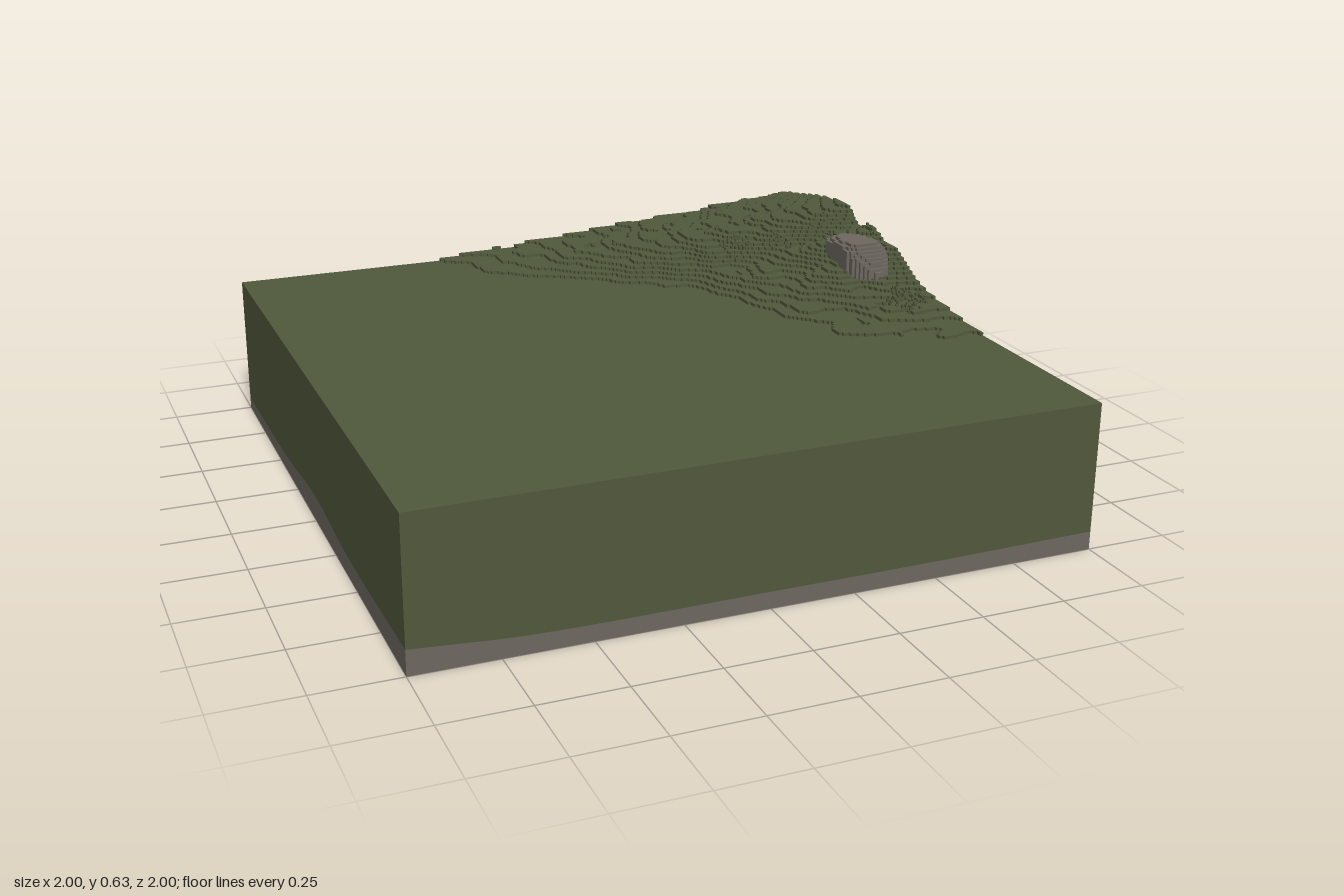
import * as THREE from 'three';
import { mergeGeometries } from 'three/addons/utils/BufferGeometryUtils.js';

const N = 200, CELL = 2 / N, STEP = 0.01, BASE = 0.445;

// smooth curve through [position, value] points in ascending order
function profile(points) {
  const slope = points.map((p, i) => {
    const a = points[Math.max(i - 1, 0)], b = points[Math.min(i + 1, points.length - 1)];
    return (b[1] - a[1]) / (b[0] - a[0]);
  });
  return (s) => {
    let i = 0;
    while (i < points.length - 2 && s > points[i + 1][0]) i++;
    const [x0, y0] = points[i], [x1, y1] = points[i + 1];
    const w = x1 - x0, t = THREE.MathUtils.clamp((s - x0) / w, 0, 1), u = 1 - t;
    return y0 * (1 + 2 * t) * u * u + slope[i] * w * t * u * u
      + y1 * t * t * (3 - 2 * t) - slope[i + 1] * w * t * t * u;
  };
}

// small repeatable noise
function hash(a, b) {
  const v = Math.sin(a * 127.1 + b * 311.7) * 43758.5453;
  return v - Math.floor(v);
}
function noise(x, z) {
  const i = Math.floor(x), j = Math.floor(z), u = x - i, v = z - j;
  const near = THREE.MathUtils.lerp(hash(i, j), hash(i + 1, j), u);
  const far = THREE.MathUtils.lerp(hash(i, j + 1), hash(i + 1, j + 1), u);
  return THREE.MathUtils.lerp(near, far, v) - 0.5;
}

// hill: height along the right edge, and where its foot begins in x
const ridge = profile([[-1, 0.56], [-0.8, 0.6], [-0.62, 0.63], [-0.5, 0.63], [-0.43, 0.588], [-0.33, 0.605],
  [-0.24, 0.575], [-0.17, 0.575], [-0.1, 0.54], [0, 0.497], [0.2, 0.465], [0.38, 0.452], [0.44, 0.445], [1, 0.445]]);
const foot = profile([[-1, -0.36], [-0.71, -0.12], [-0.39, 0.34], [-0.09, 0.47], [0.26, 0.59], [0.38, 0.9], [0.44, 1]]);

function ground(x, z) {
  if (z > 0.43) return BASE;
  const start = foot(z) + 0.1 * noise(x * 14, z * 14);
  const t = THREE.MathUtils.clamp((x - start) / (1.01 - start), 0, 1);
  const rough = 0.022 * noise(x * 17 + 5, z * 17) * Math.min(1, 4 * t * (1 - t));
  const rise = Math.max(0, (ridge(z) - BASE) * t + rough);
  return BASE + Math.floor(rise / STEP + 0.7) * STEP;
}

// collects flat four-cornered faces
function faceSet() {
  const pos = [];
  return {
    quad(a, b, c, d) { pos.push(...a, ...b, ...c, ...a, ...c, ...d); },
    geometry() {
      const g = new THREE.BufferGeometry();
      g.setAttribute('position', new THREE.Float32BufferAttribute(pos, 3));
      g.computeVertexNormals();
      return g;
    },
  };
}

function box(x, y, z, w, h, d) {
  return new THREE.BoxGeometry(w, h, d).translate(x, y, z);
}

export function createModel() {
  const group = new THREE.Group();
  const turf = new THREE.MeshStandardMaterial({ name: 'turf green', color: 0x50593b });
  const stone = new THREE.MeshStandardMaterial({ name: 'stone grey', color: 0x6e6760 });
  const add = (name, geometry, material) => {
    const mesh = new THREE.Mesh(geometry, material);
    mesh.name = name;
    group.add(mesh);
  };
  const at = (i) => -1 + i * CELL;
  const height = [];
  for (let j = 0; j < N; j++) {
    height.push([]);
    for (let i = 0; i < N; i++) height[j].push(ground(at(i + 0.5), at(j + 0.5)));
  }

  // terraced top: level runs along x, with risers between unequal cells
  const top = faceSet();
  for (let j = 0; j < N; j++) {
    const z0 = at(j), z1 = at(j + 1);
    let from = 0;
    for (let i = 0; i < N; i++) {
      const a = height[j][i], right = height[j][i + 1], front = height[j + 1]?.[i];
      const x0 = at(i), x1 = at(i + 1);
      if (right !== a) {
        const s = at(from);
        top.quad([s, a, z1], [x1, a, z1], [x1, a, z0], [s, a, z0]);
        from = i + 1;
        if (right !== undefined) top.quad([x1, right, z1], [x1, right, z0], [x1, a, z0], [x1, a, z1]);
      }
      if (front !== undefined && front !== a) {
        top.quad([x0, front, z1], [x1, front, z1], [x1, a, z1], [x0, a, z1]);
      }
    }
  }
  add('terracedGround', top.geometry(), turf);

  // cut sides: bedrock below, soil above; s runs left to right seen from outside
  const sides = [
    { name: 'front', point: (s) => [s, 1], cell: (k) => height[N - 1][k],
      strata: profile([[-1, 0.075], [-0.65, 0.052], [0, 0.05], [0.5, 0.05], [1, 0.055]]) },
    { name: 'right', point: (s) => [1, -s], cell: (k) => height[N - 1 - k][N - 1],
      strata: profile([[-1, 0.055], [-0.5, 0.055], [-0.2, 0.125], [0, 0.198], [0.2, 0.243], [0.4, 0.24],
        [0.6, 0.22], [0.8, 0.218], [1, 0.185]]) },
    { name: 'back', point: (s) => [-s, -1], cell: (k) => height[0][N - 1 - k],
      strata: profile([[-1, 0.185], [-0.85, 0.31], [-0.67, 0.38], [-0.5, 0.35], [-0.13, 0.2], [0.28, 0.08],
        [0.6, 0.045], [1, 0.035]]) },
    { name: 'left', point: (s) => [-1, s], cell: (k) => height[k][0],
      strata: profile([[-1, 0.035], [-0.4, 0.05], [0, 0.08], [0.4, 0.06], [1, 0.075]]) },
  ];
  for (const { name, point, cell, strata } of sides) {
    const soil = faceSet(), rock = faceSet();
    for (let k = 0; k < N; k++) {
      const [xa, za] = point(at(k)), [xb, zb] = point(at(k + 1));
      const ya = strata(at(k)), yb = strata(at(k + 1)), h = cell(k);
      rock.quad([xa, 0, za], [xb, 0, zb], [xb, yb, zb], [xa, ya, za]);
      soil.quad([xa, ya, za], [xb, yb, zb], [xb, h, zb], [xa, h, za]);
    }
    add(name + 'Soil', soil.geometry(), turf);
    add(name + 'Bedrock', rock.geometry(), stone);
  }
  const under = faceSet();
  under.quad([-1, 0, -1], [1, 0, -1], [1, 0, 1], [-1, 0, 1]);
  add('underside', under.geometry(), stone);

  // boulder: stacked columns, flat on top and stepping down to the front
  const columns = [];
  for (let x = 0.805; x < 0.96; x += CELL) {
    for (let z = -0.315; z < -0.07; z += CELL) {
      const cx = 0.865 + 0.14 * (z + 0.2);
      const r = Math.hypot((x - cx) / 0.072, (z + 0.195) / 0.12) + 0.12 * noise(x * 30, z * 30);
      if (r > 1) continue;
      const y = 0.605 - Math.max(0, z + 0.14) * 0.9 - Math.max(0, r - 0.7) * 0.06;
      const snapped = Math.round(y / STEP) * STEP;
      columns.push(box(x, (snapped + 0.46) / 2, z, CELL, snapped - 0.46, CELL));
    }
  }
  add('boulder', mergeGeometries(columns), stone);

  // scrub: loose specks of leaf above the slope [x, z, half width, half depth, height, count]
  const scrub = [
    [0.89, 0.095, 0.06, 0.085, 0.05, 80], [0.57, -0.5, 0.06, 0.045, 0.03, 35],
    [0.71, -0.44, 0.035, 0.045, 0.03, 20], [0.9, -0.47, 0.06, 0.07, 0.02, 14], [0.98, -0.31, 0.012, 0.06, 0.02, 10],
  ];
  const specks = [];
  scrub.forEach(([x, z, w, d, h, count], n) => {
    for (let k = 0; k < count; k++) {
      const angle = hash(k, n) * Math.PI * 2, r = Math.sqrt(hash(k + 0.5, n + 7));
      const px = x + Math.cos(angle) * r * w, pz = z + Math.sin(angle) * r * d;
      const py = ground(px, pz) + hash(k, n + 19) * h * (1 - 0.5 * r);
      specks.push(box(px, py, pz, 0.008, 0.008, 0.008));
    }
  });
  add('scrub', mergeGeometries(specks), turf);
  return group;
}
